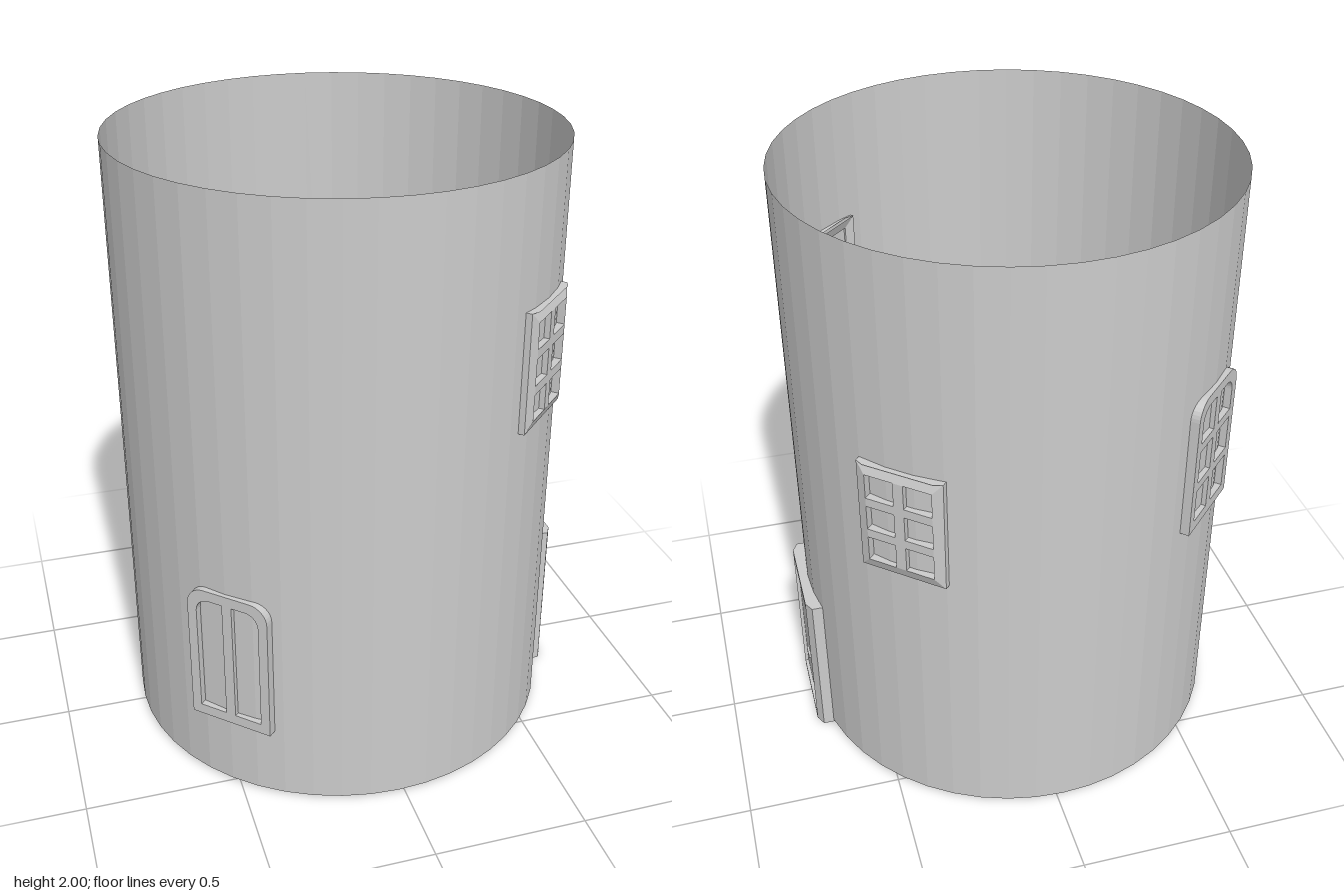
import * as THREE from 'three';

const CX = -0.02; // tower axis
const R = 0.71;
const mat = new THREE.MeshStandardMaterial({ color: 0xcccccc, flatShading: true });
const wallMat = new THREE.MeshStandardMaterial({ color: 0xcccccc, flatShading: true, side: THREE.DoubleSide });

// Rectangle path; the top corners named in "round" ('l', 'r') get radius r
function outline(Kind, x0, x1, y0, y1, round = '', r = 0, bends = []) {
  const p = new Kind();
  p.moveTo(x0, y0);
  for (const b of bends) p.lineTo(b, y0);
  p.lineTo(x1, y0);
  if (round.includes('r')) {
    p.lineTo(x1, y1 - r);
    p.absarc(x1 - r, y1 - r, r, 0, Math.PI / 2, false);
  } else p.lineTo(x1, y1);
  for (const b of [...bends].reverse()) p.lineTo(b, y1);
  if (round.includes('l')) {
    p.lineTo(x0 + r, y1);
    p.absarc(x0 + r, y1 - r, r, Math.PI / 2, Math.PI, false);
  } else p.lineTo(x0, y1);
  p.closePath();
  return p;
}

// Extrude between two distances from the axis; ends beyond "limit" fold back
function slab(shape, near, far, limit = Infinity, fold = 0) {
  const g = new THREE.ExtrudeGeometry(shape, { depth: far - near, bevelEnabled: false, curveSegments: 4 });
  g.translate(0, 0, near);
  const p = g.attributes.position;
  for (let i = 0; i < p.count; i++) {
    if (Math.abs(p.getX(i)) > limit) p.setZ(i, p.getZ(i) - fold);
  }
  g.computeVertexNormals();
  return g;
}

function add(parent, geometry, name, material = mat) {
  const m = new THREE.Mesh(geometry, material);
  m.name = name;
  parent.add(m);
  return m;
}

// Window frame with two columns of panes, set on the wall at an angle
function windowFrame({ name, angle, y, h, rows, arched }) {
  const half = 0.142, edge = 0.115, bar = 0.017, border = 0.035;
  const shape = arched
    ? outline(THREE.Shape, -half, half, 0, h, 'lr', 0.06)
    : outline(THREE.Shape, -half, half, 0, h, '', 0, [-edge, edge]);
  const paneH = (h - 2 * border - (rows - 1) * 0.03) / rows;
  for (let i = 0; i < rows; i++) {
    const y0 = border + i * (paneH + 0.03);
    const top = arched && i === rows - 1;
    shape.holes.push(outline(THREE.Path, -0.11, -bar, y0, y0 + paneH, top ? 'l' : '', 0.045));
    shape.holes.push(outline(THREE.Path, bar, 0.11, y0, y0 + paneH, top ? 'r' : '', 0.045));
  }
  const g = arched ? slab(shape, 0.69, 0.724) : slab(shape, 0.695, 0.727, 0.12, 0.013);
  const group = new THREE.Group();
  group.name = name;
  add(group, g, name + 'Frame');
  group.position.set(CX, y, 0);
  group.rotation.y = THREE.MathUtils.degToRad(angle);
  return group;
}

// Door with surround, leaf and handle, facing +x
function door() {
  const group = new THREE.Group();
  group.name = 'door';
  const frame = outline(THREE.Shape, -0.178, 0.178, 0, 0.54, '', 0, [-0.145, 0.145]);
  frame.holes.push(outline(THREE.Path, -0.143, 0.143, 0.012, 0.518));
  add(group, slab(frame, 0.695, 0.74, 0.16, 0.018), 'doorFrame');
  add(group, slab(outline(THREE.Shape, -0.143, 0.143, 0.012, 0.518), 0.705, 0.728), 'doorLeaf');
  const handle = add(group, new THREE.BoxGeometry(0.045, 0.013, 0.008), 'doorHandle');
  handle.position.set(0.09, 0.27, 0.741);
  const stem = add(group, new THREE.BoxGeometry(0.012, 0.012, 0.014), 'handleStem');
  stem.position.set(0.105, 0.27, 0.733);
  group.position.x = CX;
  group.rotation.y = Math.PI / 2;
  return group;
}

export function createModel() {
  const model = new THREE.Group();
  model.name = 'roundTower';

  // Open round wall
  const wall = add(model, new THREE.CylinderGeometry(R, R, 1.99, 48, 1, true), 'wall', wallMat);
  wall.position.set(CX, 1.005, 0);

  model.add(door());

  // Windows around the wall
  [
    { name: 'frontLeftWindow', angle: 45, y: 1.19, h: 0.39, rows: 3 },
    { name: 'backLeftWindow', angle: 139, y: 0.93, h: 0.383, rows: 3 },
    { name: 'backRightWindow', angle: 225, y: 0.95, h: 0.478, rows: 3, arched: true },
    { name: 'frontRightWindow', angle: -44, y: 0.252, h: 0.478, rows: 1, arched: true },
  ].forEach((w) => model.add(windowFrame(w)));

  return model;
}
